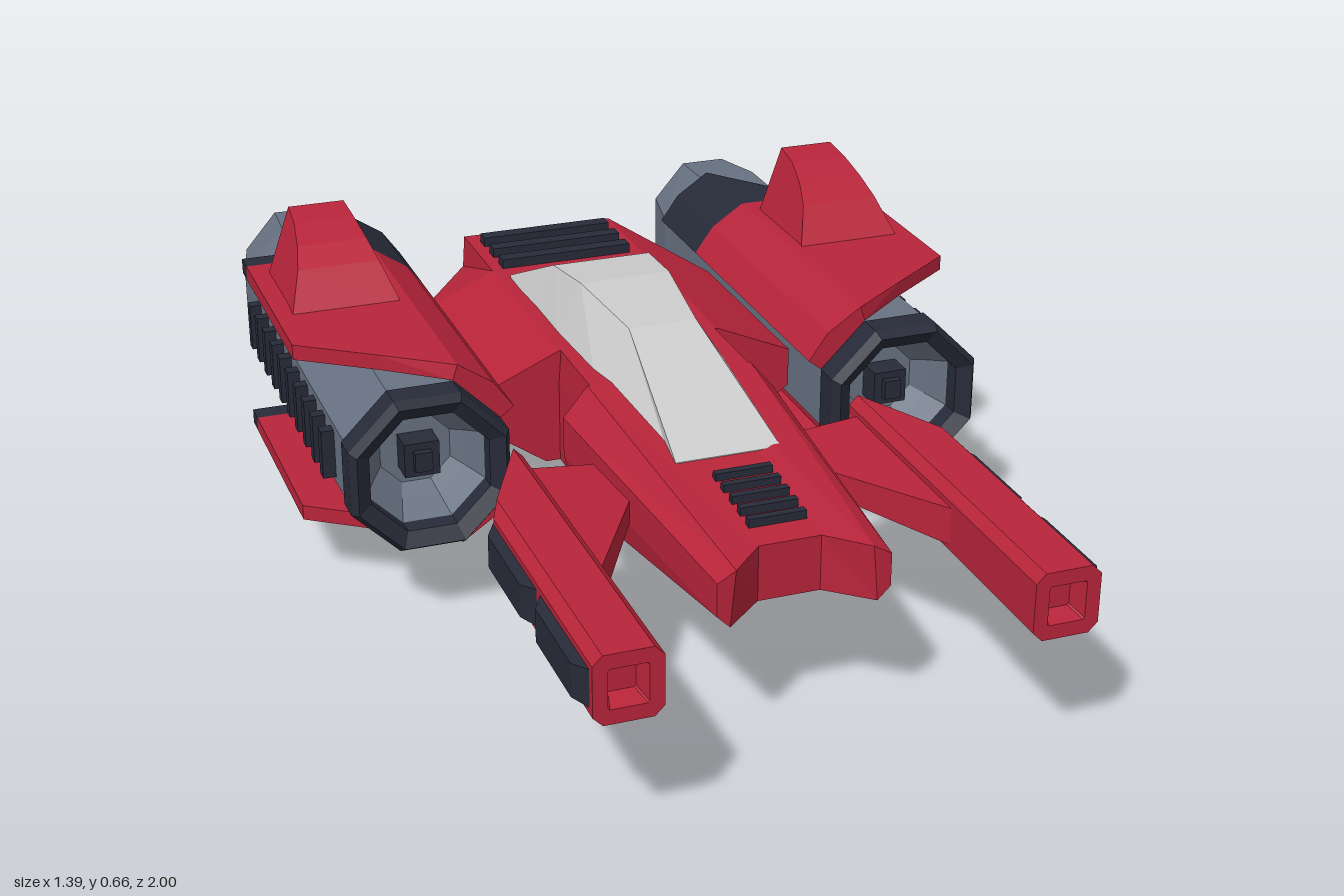
import * as THREE from 'three';

const mat = (color) => new THREE.MeshStandardMaterial({ color, flatShading: true });
const RED = mat(0xb8243a), DARK = mat(0x272a38), STEEL = mat(0x687282), GLASS = mat(0xcccccc);
const MID = 0.33; // height of the engine and cannon axes

// Closed skin over rings of [x, y, z]; each ring runs along its upper row, then back along its lower row
function loft(rings) {
  const out = [], n = rings[0].length;
  const quad = (a, b, c, d) => out.push(a, b, c, a, c, d);
  for (let k = 0; k < rings.length - 1; k++) {
    for (let i = 0; i < n; i++) {
      const j = (i + 1) % n;
      quad(rings[k][i], rings[k + 1][i], rings[k + 1][j], rings[k][j]);
    }
  }
  const first = rings[0], last = rings[rings.length - 1];
  for (let i = 0; i < n / 2 - 1; i++) {
    quad(first[i], first[i + 1], first[n - 2 - i], first[n - 1 - i]);
    quad(last[i], last[n - 1 - i], last[n - 2 - i], last[i + 1]);
  }
  // turn the faces outward if the enclosed volume is negative
  const pts = out.map((p) => new THREE.Vector3(...p));
  let volume = 0;
  for (let i = 0; i < pts.length; i += 3) volume += pts[i].dot(pts[i + 1].clone().cross(pts[i + 2]));
  if (volume < 0) pts.reverse();
  const geo = new THREE.BufferGeometry().setFromPoints(pts);
  geo.computeVertexNormals();
  return geo;
}

function add(parent, name, geo, material) {
  const mesh = new THREE.Mesh(geo, material);
  mesh.name = name;
  parent.add(mesh);
  return mesh;
}

function bar(parent, name, material, w, h, d, x, y, z) {
  const mesh = add(parent, name, new THREE.BoxGeometry(w, h, d), material);
  mesh.position.set(x, y, z);
  return mesh;
}

// Mirror rings in x (side = -1) and in height about the engine axis (flip)
const mirror = (rings, side, flip = false) =>
  rings.map((r) => r.map(([x, y, z]) => [x * side, flip ? 2 * MID - y : y, z]));

// Rectangle with chamfered corners; zAt may be a number or a rule of the x offset
function chamfered(cx, hx, hy, c, zAt) {
  const z = typeof zAt === 'function' ? zAt : () => zAt;
  return [[-hx, hy - c], [c - hx, hy], [hx - c, hy], [hx, hy - c],
    [hx, c - hy], [hx - c, -hy], [c - hx, -hy], [-hx, c - hy]]
    .map(([x, y]) => [cx + x, MID + y, z(x)]);
}
function octagon(rx, ry, z) {
  const ring = chamfered(0.495, 1, 1, 0.586, z);
  return ring.map(([x, y, zz]) => [0.495 + (x - 0.495) * rx, MID + (y - MID) * ry, zz]);
}
const trapezoid = (cx, z, top, yTop, base, yBase) =>
  [[cx - top, yTop, z], [cx + top, yTop, z], [cx + base, yBase, z], [cx - base, yBase, z]];

// Hull section: top half width, side half width and its two heights, bottom half width
function hullRing(z, top, yTop, side, y1, y2, bottom, yBottom, zMid = z) {
  const c = 0.06;
  return [[-side, y1, z], [-top, yTop, z], [-c, yTop, zMid], [c, yTop, zMid], [top, yTop, z], [side, y1, z],
    [side, y2, z], [bottom, yBottom, z], [c, yBottom, zMid], [-c, yBottom, zMid], [-bottom, yBottom, z], [-side, y2, z]];
}

function buildHull(model) {
  const hull = new THREE.Group();
  hull.name = 'hull';
  model.add(hull);
  add(hull, 'hullBody', loft([
    hullRing(-0.62, 0.10, 0.385, 0.10, 0.36, 0.30, 0.10, 0.28), // recessed tail outlet
    hullRing(-0.75, 0.13, 0.41, 0.13, 0.37, 0.29, 0.13, 0.25),
    hullRing(-0.75, 0.17, 0.45, 0.175, 0.38, 0.29, 0.17, 0.21),
    hullRing(-0.53, 0.17, 0.45, 0.33, 0.38, 0.30, 0.20, 0.21),
    hullRing(-0.07, 0.17, 0.45, 0.33, 0.38, 0.30, 0.20, 0.21),
    hullRing(-0.07, 0.165, 0.45, 0.17, 0.38, 0.30, 0.17, 0.21),
    hullRing(0.11, 0.165, 0.45, 0.17, 0.38, 0.30, 0.17, 0.21),
    hullRing(0.11, 0.17, 0.45, 0.22, 0.39, 0.31, 0.20, 0.21),
    hullRing(0.79, 0.13, 0.385, 0.165, 0.365, 0.30, 0.14, 0.275, 0.72), // notched nose
  ]), RED);
  add(hull, 'canopy', loft([
    trapezoid(0, 0.425, 0.105, 0.418, 0.105, 0.39),
    trapezoid(0, 0.07, 0.07, 0.54, 0.14, 0.43),
    trapezoid(0, -0.15, 0.095, 0.555, 0.145, 0.44),
    trapezoid(0, -0.3, 0.105, 0.54, 0.145, 0.44),
    trapezoid(0, -0.48, 0.145, 0.456, 0.145, 0.44),
  ]), GLASS);
  for (let i = 0; i < 3; i++) bar(hull, 'rearVent', DARK, 0.29, 0.04, 0.032, 0, 0.45, -0.69 + i * 0.07);
  for (let i = 0; i < 5; i++) {
    bar(hull, 'noseVent', DARK, 0.112, 0.03, 0.016, 0, 0.408 - i * 0.0038, 0.495 + i * 0.04);
  }
}

function buildEngine(model, side) {
  const engine = new THREE.Group();
  engine.name = side > 0 ? 'leftEngine' : 'rightEngine';
  model.add(engine);
  const part = (name, material, rings, flip) => add(engine, name, loft(mirror(rings, side, flip)), material);

  part('engineBody', STEEL, [
    octagon(0.07, 0.07, 0.02), octagon(0.09, 0.09, 0.05), octagon(0.12, 0.12, 0.10), octagon(0.152, 0.152, 0.10),
    octagon(0.154, 0.155, -0.84), octagon(0.119, 0.137, -1),
    octagon(0.102, 0.117, -1), octagon(0.08, 0.09, -0.86),
  ]);
  // intake lip, a ring whose inner bore shows the stepped intake
  const lip = [octagon(0.118, 0.118, 0.08), octagon(0.158, 0.158, 0.08), octagon(0.158, 0.158, 0.135),
    octagon(0.146, 0.146, 0.155), octagon(0.118, 0.118, 0.135)];
  const bore = [];
  for (let i = 0; i < 8; i++) bore.push(lip.map((r) => r[i]));
  const quads = [];
  bore.forEach((a, i) => {
    const b = bore[(i + 1) % 8];
    a.forEach((p, k) => {
      const m = (k + 1) % a.length;
      quads.push(p, b[k], b[m], p, b[m], a[m]);
    });
  });
  const pts = quads.map(([x, y, z]) => new THREE.Vector3(x * side, y, z));
  const lipGeo = new THREE.BufferGeometry().setFromPoints(pts);
  lipGeo.computeVertexNormals();
  const lipMaterial = DARK.clone();
  lipMaterial.side = THREE.DoubleSide;
  add(engine, 'intakeLip', lipGeo, lipMaterial);
  bar(engine, 'intakeHub', DARK, 0.07, 0.07, 0.06, side * 0.495, MID, 0.045);
  bar(engine, 'intakeHubCore', DARK, 0.035, 0.04, 0.02, side * 0.495, MID, 0.08);

  for (let i = 0; i < 10; i++) {
    bar(engine, 'sideVent', DARK, 0.04, 0.1, 0.026, side * 0.653, MID, -0.02 - i * 0.0745);
  }

  // Armour shells and fins, above and below
  const plate = (x, yOut, xIn, yIn, zFront, zBack) =>
    [[x, yOut, zBack], [x, yOut, zFront], [xIn, yIn, zFront], [xIn, yIn, zBack]];
  const shell = [[0.695, 0.52, 0.695, 0.489], [0.55, 0.52, 0.55, 0.489], [0.42, 0.52, 0.43, 0.489],
    [0.35, 0.473, 0.378, 0.437], [0.31, 0.417, 0.337, 0.396]];
  const front = [-0.12, -0.016, 0.08, 0.08, 0.08], back = [-0.605, -0.605, -0.78, -0.78, -0.78];
  for (const flip of [false, true]) {
    part('armourShell', RED, shell.map((s, i) => plate(...s, front[i], -0.56)), flip);
    part('rearShell', DARK, shell.map((s, i) => plate(...s, -0.56, back[i])), flip);
    const fin = (z, y) => trapezoid(0.55, z, 0.11 - 0.052 * (y - 0.52) / 0.138, y, 0.11, 0.51);
    part('fin', RED, [
      fin(-0.27, 0.52), fin(-0.325, 0.59), fin(-0.375, 0.622), fin(-0.44, 0.647), fin(-0.512, 0.658),
      trapezoid(0.55, -0.512, 0.045, 0.635, 0.08, 0.535),
      trapezoid(0.55, -0.42, 0.035, 0.61, 0.06, 0.545),
    ], flip);
  }
}

function buildCannon(model, side) {
  const cannon = new THREE.Group();
  cannon.name = side > 0 ? 'leftCannon' : 'rightCannon';
  model.add(cannon);
  const part = (name, material, rings) => add(cannon, name, loft(mirror(rings, side)), material);

  part('cannonBarrel', RED, [
    chamfered(0.4, 0.063, 0.066, 0.018, (dx) => 0.22 + Math.max(0, dx + 0.045) * 2.13),
    chamfered(0.4, 0.063, 0.066, 0.018, 1),
    chamfered(0.4, 0.036, 0.038, 0.003, 1),
    chamfered(0.4, 0.026, 0.028, 0.003, 0.96),
  ]);
  // Raised side panels with sloped ends
  for (const [z0, z1] of [[0.445, 0.705], [0.725, 0.985]]) {
    const face = (x, e, h) => [[x, MID + h, z0 + e], [x, MID + h, z1 - e], [x, MID - h, z1 - e], [x, MID - h, z0 + e]];
    part('sidePanel', DARK, [face(0.455, 0, 0.036), face(0.463, 0, 0.036), face(0.483, 0.035, 0.032)]);
  }
  // Swept arm to the hull
  const armEnd = (x, h, z0, z1) => [[x, MID + h, z0], [x, MID + h, z1], [x, MID - h, z1], [x, MID - h, z0]];
  part('cannonArm', RED, [armEnd(0.345, 0.038, 0.255, 0.69), armEnd(0.16, 0.02, 0.255, 0.36)]);
}

export function createModel() {
  const model = new THREE.Group();
  model.name = 'spacecraft';
  buildHull(model);
  for (const side of [1, -1]) {
    buildEngine(model, side);
    buildCannon(model, side);
  }
  return model;
}
